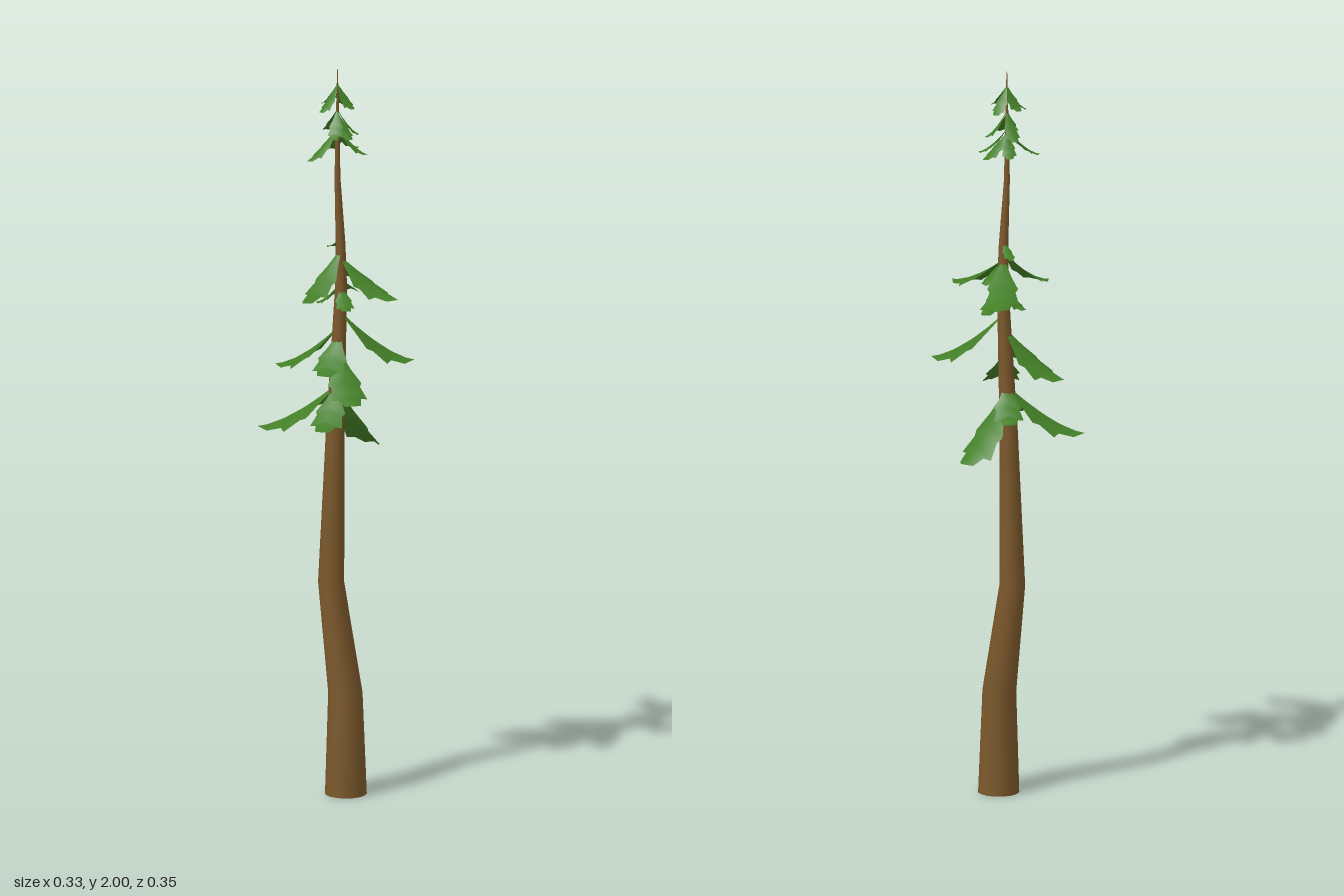
import * as THREE from 'three';

// Trunk stations: height, centre x, centre z, radius
const TRUNK = [
  [0, 0.014, 0.006, 0.056], [0.28, 0.012, 0.006, 0.046], [0.58, -0.002, -0.035, 0.035],
  [1.0, 0, -0.021, 0.025], [1.4, 0.013, -0.012, 0.016], [1.52, 0.01, -0.011, 0.013],
  [1.7, -0.001, -0.011, 0.008], [1.85, 0, -0.012, 0.005], [2, 0, -0.012, 0.001],
];

// Half outline of a frond: position along the spine, half width
const OUTLINE = [[0, 0.08], [0.22, 0.5], [0.38, 0.92], [0.46, 0.78], [0.66, 1], [0.7, 0.62], [0.88, 0.45], [1, 0]];

// Fronds: root height, tip x, y, z, half width
const FRONDS = [
  // lower whorl
  [1.12, 0.162, 0.94, -0.032, 0.06], [1.13, -0.145, 1.01, -0.17, 0.06],
  [1.22, -0.075, 1.11, 0.137, 0.05], [1.13, -0.12, 1.03, 0.05, 0.045],
  [1.14, 0.06, 1.05, -0.115, 0.04],
  // middle whorl
  [1.33, 0.147, 1.2, 0.132, 0.06], [1.29, -0.075, 1.17, -0.175, 0.053],
  [1.27, -0.105, 1.18, 0.04, 0.045],
  // upper whorl
  [1.5, -0.165, 1.39, 0.03, 0.035], [1.48, 0.05, 1.39, 0.174, 0.045],
  [1.48, 0.123, 1.39, -0.167, 0.045], [1.42, 0.13, 1.36, -0.09, 0.03],
  [1.48, 0.075, 1.42, 0, 0.035],
  [1.4, -0.03, 1.35, 0.06, 0.025], [1.41, -0.02, 1.35, -0.075, 0.025],
  [1.53, 0.03, 1.495, -0.085, 0.015],
  // crown whorls
  [1.84, -0.097, 1.76, -0.028, 0.02], [1.83, 0.085, 1.77, -0.022, 0.02],
  [1.84, 0.048, 1.77, 0.055, 0.02], [1.83, 0.02, 1.77, -0.06, 0.02],
  [1.89, -0.05, 1.82, 0.028, 0.02], [1.89, 0.05, 1.82, 0.02, 0.02],
  [1.89, 0.015, 1.82, -0.08, 0.02], [1.88, -0.01, 1.82, 0.055, 0.02],
  [1.96, -0.058, 1.89, -0.02, 0.02], [1.96, 0.054, 1.89, -0.03, 0.02],
  [1.96, 0.01, 1.9, 0.045, 0.02], [1.96, -0.01, 1.9, -0.065, 0.02],
];

function trunkCentre(y) {
  const i = Math.max(1, TRUNK.findIndex((s) => s[0] >= y));
  const a = TRUNK[i - 1], b = TRUNK[i], k = (y - a[0]) / (b[0] - a[0]);
  return [a[1] + (b[1] - a[1]) * k, a[2] + (b[2] - a[2]) * k];
}

function buildGeometry(positions, index) {
  const g = new THREE.BufferGeometry();
  g.setAttribute('position', new THREE.Float32BufferAttribute(positions, 3));
  g.setIndex(index);
  g.computeVertexNormals();
  return g;
}

// Bent tapering tube through the trunk stations
function trunkGeometry(sides = 16) {
  const pos = [], idx = [];
  TRUNK.forEach(([y, cx, cz, r], j) => {
    for (let i = 0; i < sides; i++) {
      const a = (i / sides) * Math.PI * 2;
      pos.push(cx + r * Math.cos(a), y, cz + r * Math.sin(a));
      if (j === 0) continue;
      const n = (i + 1) % sides, lo = (j - 1) * sides, hi = j * sides;
      idx.push(lo + i, hi + i, lo + n, lo + n, hi + i, hi + n);
    }
  });
  return buildGeometry(pos, idx);
}

// Toothed sheet facing up, folded along its spine and sagging toward the tip
function frondGeometry(rootY, tx, ty, tz, half) {
  const [cx, cz] = trunkCentre(rootY);
  const dx = tx - cx, dz = tz - cz, len = Math.hypot(dx, dz);
  const sx = -dz / len, sz = dx / len;
  const pos = [], idx = [];
  OUTLINE.forEach(([t, w], j) => {
    const y = rootY + (ty - rootY) * (1 - Math.pow(1 - t, 1.5));
    for (const s of [-1, 0, 1]) {
      const off = s * w * half;
      pos.push(cx + dx * t + sx * off, y - Math.abs(off) * 0.4, cz + dz * t + sz * off);
    }
    if (j === 0) return;
    for (const k of [0, 1]) {
      const a = (j - 1) * 3 + k, b = j * 3 + k;
      idx.push(a, a + 1, b, b, a + 1, b + 1);
    }
  });
  return buildGeometry(pos, idx);
}

export function createModel() {
  const bark = new THREE.MeshStandardMaterial({ color: 0x7a572a, side: THREE.DoubleSide });
  bark.name = 'bark brown';
  const needles = new THREE.MeshStandardMaterial({ color: 0x437f27, side: THREE.DoubleSide });
  needles.name = 'needle green';

  const tree = new THREE.Group();
  tree.name = 'conifer';

  const trunk = new THREE.Mesh(trunkGeometry(), bark);
  trunk.name = 'trunk';
  tree.add(trunk);

  const foliage = new THREE.Group();
  foliage.name = 'foliage';
  FRONDS.forEach((f, i) => {
    const frond = new THREE.Mesh(frondGeometry(...f), needles);
    frond.name = `frond${i + 1}`;
    foliage.add(frond);
  });
  tree.add(foliage);
  return tree;
}
